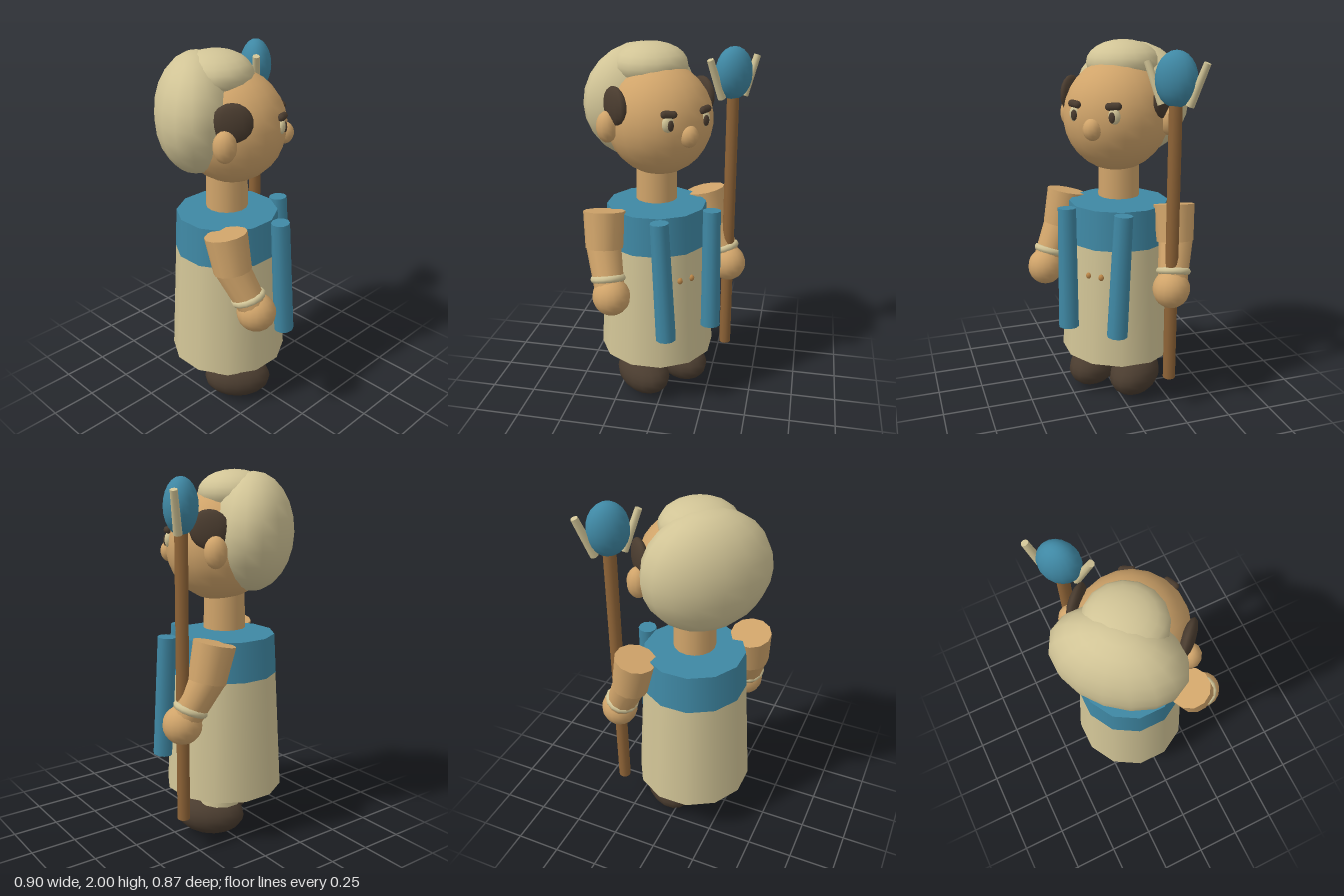
import * as THREE from 'three';

const mat = (name, color) => Object.assign(new THREE.MeshStandardMaterial({ color }), { name });

export function createModel() {
  const skin = mat('skin', 0xd0a46a);
  const cream = mat('cream', 0xd1c496);
  const blue = mat('blue', 0x3f88a4);
  const dark = mat('darkBrown', 0x4a3c2f);
  const wood = mat('wood', 0x8f6437);
  const button = mat('button', 0xbb8648);

  const model = new THREE.Group();
  model.name = 'staffBearer';
  // The figure itself faces diagonally between +x and +z
  const figure = new THREE.Group();
  figure.name = 'figure';
  figure.rotation.y = Math.PI / 4;
  figure.position.set(-0.06, 0, -0.043);
  model.add(figure);

  const add = (name, geometry, material) => {
    const mesh = new THREE.Mesh(geometry, material);
    mesh.name = name;
    figure.add(mesh);
    return mesh;
  };
  // Ellipsoid from centre and three radii
  const ball = (name, material, [x, y, z], [rx, ry, rz], seg = 16) => {
    const mesh = add(name, new THREE.SphereGeometry(1, seg, Math.round(seg * 0.75)), material);
    mesh.position.set(x, y, z);
    mesh.scale.set(rx, ry, rz);
    return mesh;
  };
  // Capped cylinder running from point a (radius ra) to point b (radius rb)
  const rod = (name, material, a, b, ra, rb = ra, seg = 12) => {
    const p = new THREE.Vector3(...a), q = new THREE.Vector3(...b);
    const dir = p.clone().sub(q);
    const mesh = add(name, new THREE.CylinderGeometry(ra, rb, dir.length(), seg), material);
    mesh.position.copy(p).add(q).multiplyScalar(0.5);
    mesh.quaternion.setFromUnitVectors(new THREE.Vector3(0, 1, 0), dir.normalize());
    return mesh;
  };

  // Robe, collar and neck
  rod('robe', cream, [0, 0.92, 0], [0, 0.265, 0], 0.286, 0.325);
  rod('collar', blue, [0, 1.135, 0], [0, 0.92, 0], 0.275, 0.288);
  rod('neck', skin, [0, 1.4, 0], [0, 1.165, 0], 0.11, 0.114, 16);

  // Head and hair
  ball('head', skin, [0, 1.61, 0.03], [0.285, 0.295, 0.285], 20);
  ball('backHair', cream, [0, 1.68, -0.15], [0.335, 0.31, 0.217]);
  ball('topHair', cream, [0, 1.88, -0.05], [0.2, 0.12, 0.195]);
  ball('nose', skin, [0, 1.572, 0.3], [0.05, 0.058, 0.05], 12);

  for (const [side, s] of [['left', 1], ['right', -1]]) {
    // Face
    ball(side + 'Ear', skin, [s * 0.3, 1.6, 0], [0.055, 0.082, 0.06], 12);
    ball(side + 'Sideburn', dark, [s * 0.272, 1.71, 0.037], [0.034, 0.1, 0.102], 12);
    ball(side + 'Eye', cream, [s * 0.108, 1.642, 0.275], [0.037, 0.044, 0.026], 12);
    ball(side + 'Pupil', dark, [s * 0.108, 1.638, 0.297], [0.018, 0.028, 0.011], 10);
    const brow = add(side + 'Eyebrow', new THREE.CapsuleGeometry(0.02, 0.045, 4, 8), dark);
    brow.position.set(s * 0.11, 1.692, 0.283);
    brow.rotation.set(0, s * 0.35, Math.PI / 2 + s * 0.06, 'YXZ');

    // Legs and shoes
    rod(side + 'Leg', cream, [s * 0.134, 0.4, 0], [s * 0.134, 0.205, 0], 0.12);
    ball(side + 'Shoe', dark, [s * 0.134, 0.118, 0.054], [0.132, 0.115, 0.19]);

    // Arms
    rod(side + 'UpperArm', skin, [s * 0.332, 1.15, 0], [s * 0.358, 0.955, 0.035], 0.112, 0.1);
    rod(side + 'Forearm', skin, [s * 0.358, 0.98, 0.025], [s * 0.39, 0.77, 0.135], 0.094, 0.08);
    const cuff = add(side + 'Bracelet', new THREE.TorusGeometry(0.075, 0.02, 8, 14), cream);
    cuff.position.set(s * 0.385, 0.812, 0.115);
    cuff.quaternion.setFromUnitVectors(new THREE.Vector3(0, 0, 1),
      new THREE.Vector3(s * 0.03, -0.21, 0.075).normalize());
    ball(side + 'Hand', skin, [s * 0.392, 0.727, 0.157], [0.1, 0.104, 0.104]);

    // Hanging scarf ends and robe buttons
    rod(side + 'ScarfEnd', blue, [s * 0.169, 1.135, 0.283], [s * 0.15, 0.465, 0.317], 0.05, 0.056, 10);
    ball(side + 'Button', button, [s * 0.038, 0.772, 0.286], [0.016, 0.018, 0.015], 8);
  }

  // Staff with orb and two prongs
  rod('staff', wood, [0.39, 1.74, 0.155], [0.39, 0.2, 0.155], 0.034, 0.034, 10);
  ball('staffOrb', blue, [0.39, 1.828, 0.155], [0.11, 0.14, 0.086]);
  for (const s of [-1, 1]) {
    rod('staffProng', cream, [0.39 + s * 0.158, 1.91, 0.155],
      [0.39 + s * 0.075, 1.7, 0.155], 0.019, 0.023, 8);
  }

  return model;
}
